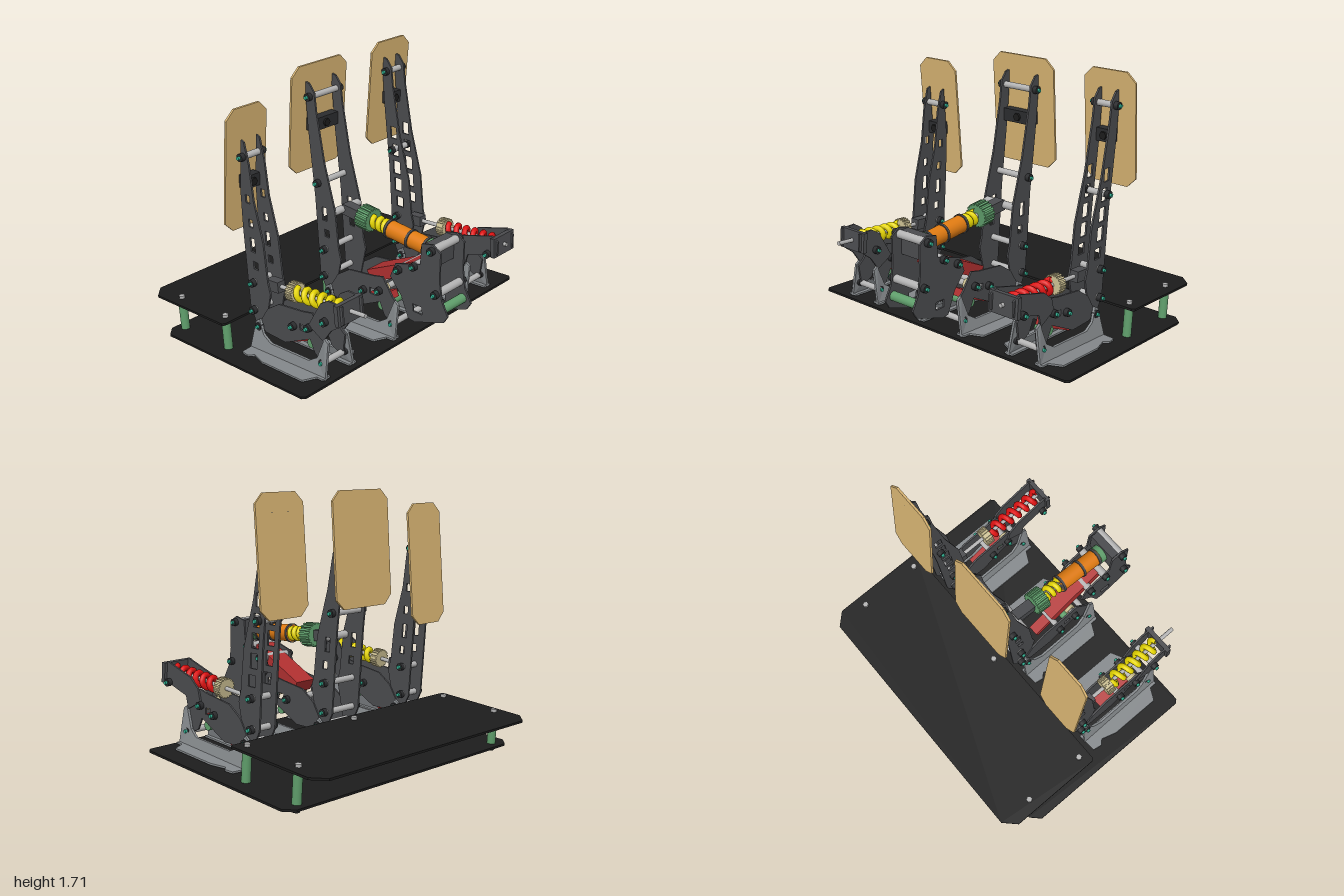
import * as THREE from 'three';

const TILT = 0.071;
const mats = {};
const mat = (c) => (mats[c] ??= new THREE.MeshStandardMaterial({ color: c, side: THREE.DoubleSide }));
const DARK = 0x4b4c4f, BLACK = 0x1c1c1c, CAST = 0x85898c, STEEL = 0xb4b4b4, BOLT = 0x2b2c2e;
const GREEN = 0x5f9e6b, TAN = 0xd9b573, YELLOW = 0xe8d800, ORANGE = 0xe07b12, RED = 0xb03030;
const CREAM = 0xc9bd90, TEAL = 0x2fae90;

function add(parent, name, geo, color, x = 0, y = 0, z = 0) {
  const m = new THREE.Mesh(geo, mat(color));
  m.name = name;
  m.position.set(x, y, z);
  parent.add(m);
  return m;
}
const poly = (pts) => new THREE.Shape(pts.map(([x, y]) => new THREE.Vector2(x, y)));
const extrude = (shape, depth) =>
  new THREE.ExtrudeGeometry(shape, { depth, bevelEnabled: false }).translate(0, 0, -depth / 2);

// rectangular window [centre x, centre y, width, height], leaning with the arm
function cut(shape, windows) {
  for (const [x, y, w, h] of windows) {
    const s = h * 0.07;
    shape.holes.push(new THREE.Path([[-w - s, h], [-w + s, -h], [w + s, -h], [w - s, h]]
      .map(([a, b]) => new THREE.Vector2(x + a / 2, y + b / 2))));
  }
  return shape;
}
// the same flat side plate on both sides of a pedal
function pair(parent, name, shape, w, color = DARK, t = 0.012) {
  for (const s of [-1, 1]) add(parent, name, extrude(shape, t), color, 0, 0, s * w);
}
// spacer across the pedal with a bolt head at either end
function crossBolt(parent, x, y, w, r = 0.02) {
  add(parent, 'spacer', new THREE.CylinderGeometry(r, r, 2 * w, 16).rotateX(Math.PI / 2), STEEL, x, y);
  for (const s of [-1, 1]) {
    add(parent, 'boltHead', new THREE.CylinderGeometry(0.025, 0.025, 0.028, 12).rotateX(Math.PI / 2), BOLT, x, y, s * (w + 0.02));
    add(parent, 'boltTip', new THREE.CylinderGeometry(0.012, 0.012, 0.02, 6).rotateX(Math.PI / 2), TEAL, x, y, s * (w + 0.038));
  }
}
// group whose local x axis runs from one point to another
function axis(parent, name, [ax, ay], [bx, by]) {
  const g = new THREE.Group();
  g.name = name;
  g.position.set(ax, ay, 0);
  g.rotation.z = Math.atan2(by - ay, bx - ax);
  parent.add(g);
  return g;
}
const rod = (g, name, x0, x1, r, color, n = 20) =>
  add(g, name, new THREE.CylinderGeometry(r, r, x1 - x0, n).rotateZ(Math.PI / 2), color, (x0 + x1) / 2);

function spring(g, x0, x1, R, r, turns, color) {
  const pts = [];
  for (let i = 0; i <= turns * 12; i++) {
    const a = (i / 12) * Math.PI * 2;
    pts.push(new THREE.Vector3(x0 + ((x1 - x0) * i) / (turns * 12), R * Math.cos(a), R * Math.sin(a)));
  }
  add(g, 'spring', new THREE.TubeGeometry(new THREE.CatmullRomCurve3(pts), turns * 16, r, 8), color);
}
// ribbed adjuster wheel
function knob(g, x0, x1, r, color) {
  rod(g, 'knobCore', x0, x1, r * 0.9, color);
  for (let i = 0; i < 18; i++) {
    const a = (i / 18) * Math.PI * 2;
    add(g, 'knobRib', new THREE.BoxGeometry(x1 - x0, r * 0.18, r * 0.18), color,
      (x0 + x1) / 2, r * 0.92 * Math.cos(a), r * 0.92 * Math.sin(a)).rotation.x = a;
  }
}

// horizontal plate with chamfered corners, tilted like the floor
function deck(parent, name, x0, x1, hz, cL, cR, cx, cy) {
  const s = poly([[x0 + cL, -hz], [x1 - cR, -hz], [x1, -hz + cR], [x1, hz - cR],
    [x1 - cR, hz], [x0 + cL, hz], [x0, hz - cL], [x0, -hz + cL]]);
  add(parent, name, extrude(s, 0.014).rotateX(Math.PI / 2), BLACK, cx, cy).rotation.z = TILT;
}

// pad with chamfered corners
function footPad(parent, hw, y0, y1, x0, x1, c) {
  const h = (y1 - y0) / 2;
  const s = poly([[-hw + c, -h], [hw - c, -h], [hw, -h + c], [hw, h - c],
    [hw - c, h], [-hw + c, h], [-hw, h - c], [-hw, -h + c]]);
  add(parent, 'footPad', extrude(s, 0.014).rotateY(Math.PI / 2), TAN, (x0 + x1) / 2, (y0 + y1) / 2)
    .rotation.z = Math.atan2(x0 - x1, y1 - y0);
}

const LOWER = [[-0.03, 0.8], [0, 0.55], [0.02, 0.48], [-0.03, 0.24], [-0.11, 0.23], [-0.16, 0.33], [-0.2, 0.85]];
const TALL = [[-0.28, 1.6], [-0.24, 1.59], [-0.2, 1.54], [-0.185, 1.42], [-0.12, 1.1], ...LOWER, [-0.255, 1.3]];
const SHORT = [[-0.19, 1.41], [-0.165, 1.4], [-0.13, 1.27], [-0.1, 1.05], ...LOWER, [-0.21, 1.1]];

// foot bracket, side plates, arm and pivots shared by all pedals
function pedal(root, name, z, w, arm, windows) {
  const g = new THREE.Group();
  g.name = name;
  g.position.z = z;
  root.add(g);
  pair(g, 'arm', cut(poly(arm), windows), w);

  // cast foot: walls flare outward to a flange on the floor
  const wall = poly([[-0.1, 0.1], [-0.09, 0.27], [-0.06, 0.29], [-0.01, 0.21], [0.06, 0.18], [0.38, 0.2],
    [0.44, 0.24], [0.49, 0.38], [0.52, 0.36], [0.53, 0.135]]);
  const flange = poly([[-0.1, 0], [0.53, 0], [0.53, 0.06], [0.48, 0.06], [0.44, 0.14],
    [0.1, 0.14], [0, 0.11], [-0.03, 0.14], [-0.09, 0.13]]);
  for (const s of [-1, 1]) {
    const geo = extrude(wall, 0.016);
    const p = geo.attributes.position;
    for (let i = 0; i < p.count; i++) p.setZ(i, p.getZ(i) + s * (w + 0.02 + Math.max(0, 0.28 - p.getY(i)) * 0.25));
    geo.computeVertexNormals();
    add(g, 'footWall', geo, CAST);
    const f = extrude(flange, 0.012).rotateX(Math.PI / 2);
    if (s < 0) f.rotateX(Math.PI);
    add(g, 'footFlange', f, CAST, 0, 0.106, s * (w + 0.02)).rotation.z = TILT;
  }

  pair(g, 'sidePlate', cut(poly([[-0.08, 0.25], [0.0, 0.38], [0.1, 0.45], [0.3, 0.48], [0.38, 0.5], [0.46, 0.39],
    [0.51, 0.35], [0.49, 0.2], [0.4, 0.24], [0.36, 0.32], [0.15, 0.21], [-0.02, 0.21]]), [[0.3, 0.37, 0.05, 0.04]]), w + 0.008);
  for (const [x, y] of [[-0.06, 0.245], [0.23, 0.36], [0.48, 0.22], [-0.11, 0.335], [-0.11, 0.52], [0.36, 0.4]])
    crossBolt(g, x, y, w + 0.01);
  const link = axis(g, 'link', [0.12, 0.21], [0.38, 0.33]);
  add(link, 'linkBar', new THREE.BoxGeometry(0.27, 0.05, 0.07), RED, 0.135);
  add(g, 'greenSpacer', new THREE.CylinderGeometry(0.03, 0.03, 1.6 * w, 16).rotateX(Math.PI / 2), GREEN, 0.34, 0.27);
  for (const s of [-1, 1])
    add(g, 'bushing', new THREE.CylinderGeometry(0.035, 0.035, 0.025, 16).rotateX(Math.PI / 2), CREAM, 0.36, 0.4, s * w * 0.7);
  return g;
}
function padMount(g, x, y, w) {
  add(g, 'padMount', new THREE.BoxGeometry(0.06, 0.08, 2 * w), BOLT, x, y);
  add(g, 'padScrew', new THREE.CylinderGeometry(0.025, 0.025, 0.09, 6).rotateZ(Math.PI / 2), BLACK, x, y);
}

// light pedals: coil spring in an open rear frame
function springUnit(g, from, to, w, kx, sx, ex, color, frame) {
  const u = axis(g, 'springUnit', from, to);
  add(u, 'rodEnd', new THREE.BoxGeometry(0.1, 0.07, 0.06), DARK, 0);
  rod(u, 'springRod', 0, Math.hypot(to[0] - from[0], to[1] - from[1]), 0.013, STEEL, 12);
  knob(u, kx, kx + 0.055, 0.062, CREAM);
  spring(u, sx, ex, 0.036, 0.019, 6, color);
  add(u, 'endPlate', new THREE.BoxGeometry(0.03, 0.13, 2 * w + 0.09), DARK, ex + 0.015);
  pair(g, 'rearFrame', poly(frame), w + 0.02);
}

export function createModel() {
  const root = new THREE.Group();
  root.name = 'pedalSet';

  // floor and raised heel plate on posts
  deck(root, 'floorPlate', -0.635, 0.635, 0.99, 0.06, 0.02, -0.07, 0.082);
  deck(root, 'heelPlate', -0.36, 0.36, 0.945, 0.08, 0.015, -0.525, 0.262);
  for (const [x, z] of [[-0.645, 0.87], [-0.645, -0.87], [-0.225, 0.87], [-0.225, -0.87], [-0.225, 0]]) {
    const p = new THREE.Group();
    p.name = 'post';
    p.position.set(x, 0.148 + (x + 0.645) * TILT, z);
    p.rotation.z = TILT;
    root.add(p);
    add(p, 'postTube', new THREE.CylinderGeometry(0.028, 0.028, 0.215, 16), GREEN);
    add(p, 'topScrew', new THREE.CylinderGeometry(0.02, 0.02, 0.025, 6), STEEL, 0, 0.118);
    add(p, 'bottomScrew', new THREE.CylinderGeometry(0.022, 0.022, 0.04, 12), BOLT, 0, -0.126);
  }

  // left pedal
  const a = pedal(root, 'leftPedal', 0.66, 0.06, SHORT,
    [[-0.15, 1.05, 0.035, 0.05], [-0.13, 0.9, 0.035, 0.05], [-0.12, 0.76, 0.04, 0.09], [-0.1, 0.63, 0.04, 0.05]]);
  footPad(a, 0.155, 0.82, 1.6, -0.265, -0.205, 0.06);
  crossBolt(a, -0.175, 1.31, 0.06);
  padMount(a, -0.2, 1.14, 0.055);
  springUnit(a, [0, 0.515], [0.73, 0.59], 0.06, 0.14, 0.2, 0.59, YELLOW,
    [[0.36, 0.42], [0.46, 0.6], [0.52, 0.64], [0.63, 0.64], [0.64, 0.53], [0.54, 0.45], [0.48, 0.36]]);
  crossBolt(a, 0.5, 0.5, 0.08);

  // right pedal
  const c = pedal(root, 'rightPedal', -0.65, 0.06, TALL,
    [[-0.17, 1.1, 0.05, 0.08], [-0.15, 0.98, 0.05, 0.08], [-0.135, 0.86, 0.06, 0.09], [-0.12, 0.74, 0.06, 0.09], [-0.1, 0.62, 0.06, 0.07]]);
  footPad(c, 0.18, 1.0, 1.71, -0.315, -0.265, 0.06);
  crossBolt(c, -0.235, 1.51, 0.06);
  crossBolt(c, -0.17, 0.98, 0.06);
  padMount(c, -0.25, 1.32, 0.055);
  springUnit(c, [0, 0.5], [0.74, 0.56], 0.06, 0.21, 0.28, 0.69, 0xe01212,
    [[0.36, 0.42], [0.38, 0.5], [0.45, 0.56], [0.68, 0.63], [0.73, 0.6], [0.73, 0.51], [0.5, 0.44], [0.48, 0.36]]);
  crossBolt(c, 0.66, 0.5, 0.08);

  // middle pedal with damper
  const b = pedal(root, 'middlePedal', 0, 0.115, TALL, [[-0.12, 0.76, 0.04, 0.09], [-0.1, 0.63, 0.04, 0.05]]);
  footPad(b, 0.237, 1.0, 1.705, -0.315, -0.27, 0.06);
  crossBolt(b, -0.235, 1.51, 0.115);
  crossBolt(b, -0.17, 0.96, 0.115);
  padMount(b, -0.25, 1.32, 0.11);
  const d = axis(b, 'damper', [-0.05, 0.79], [0.7, 0.738]);
  add(d, 'clevis', new THREE.BoxGeometry(0.14, 0.07, 0.07), DARK, 0.07);
  add(d, 'clevisPin', new THREE.CylinderGeometry(0.025, 0.025, 0.23, 12).rotateX(Math.PI / 2), STEEL, 0);
  rod(d, 'damperRod', 0.1, 0.4, 0.02, STEEL);
  knob(d, 0.145, 0.235, 0.077, GREEN);
  spring(d, 0.245, 0.38, 0.033, 0.018, 3, YELLOW);
  rod(d, 'damperBody', 0.37, 0.69, 0.055, ORANGE, 28);
  for (const x of [0.37, 0.54, 0.67]) rod(d, 'damperRing', x, x + 0.015, 0.062, DARK, 28);
  rod(d, 'damperCap', 0.69, 0.73, 0.06, GREEN, 28);
  add(b, 'damperMount', new THREE.BoxGeometry(0.06, 0.15, 0.2), DARK, 0.71, 0.745);

  // rear rocker
  pair(b, 'rocker', cut(poly([[0.67, 0.82], [0.75, 0.84], [0.81, 0.8], [0.81, 0.62], [0.83, 0.5], [0.88, 0.41],
    [0.85, 0.36], [0.63, 0.28], [0.58, 0.285], [0.52, 0.42], [0.43, 0.52], [0.47, 0.62], [0.66, 0.68]]),
  [[0.65, 0.375, 0.07, 0.05]]), 0.11);
  for (const [x, y] of [[0.75, 0.8], [0.79, 0.53], [0.62, 0.655], [0.5, 0.59]]) crossBolt(b, x, y, 0.11, 0.026);
  const r = axis(b, 'rockerLink', [0.22, 0.43], [0.62, 0.63]);
  add(r, 'rockerLinkBar', new THREE.BoxGeometry(0.45, 0.08, 0.15), RED, 0.225);
  add(b, 'rockerSpacer', new THREE.CylinderGeometry(0.03, 0.03, 0.2, 16).rotateX(Math.PI / 2), GREEN, 0.82, 0.43);
  return root;
}
